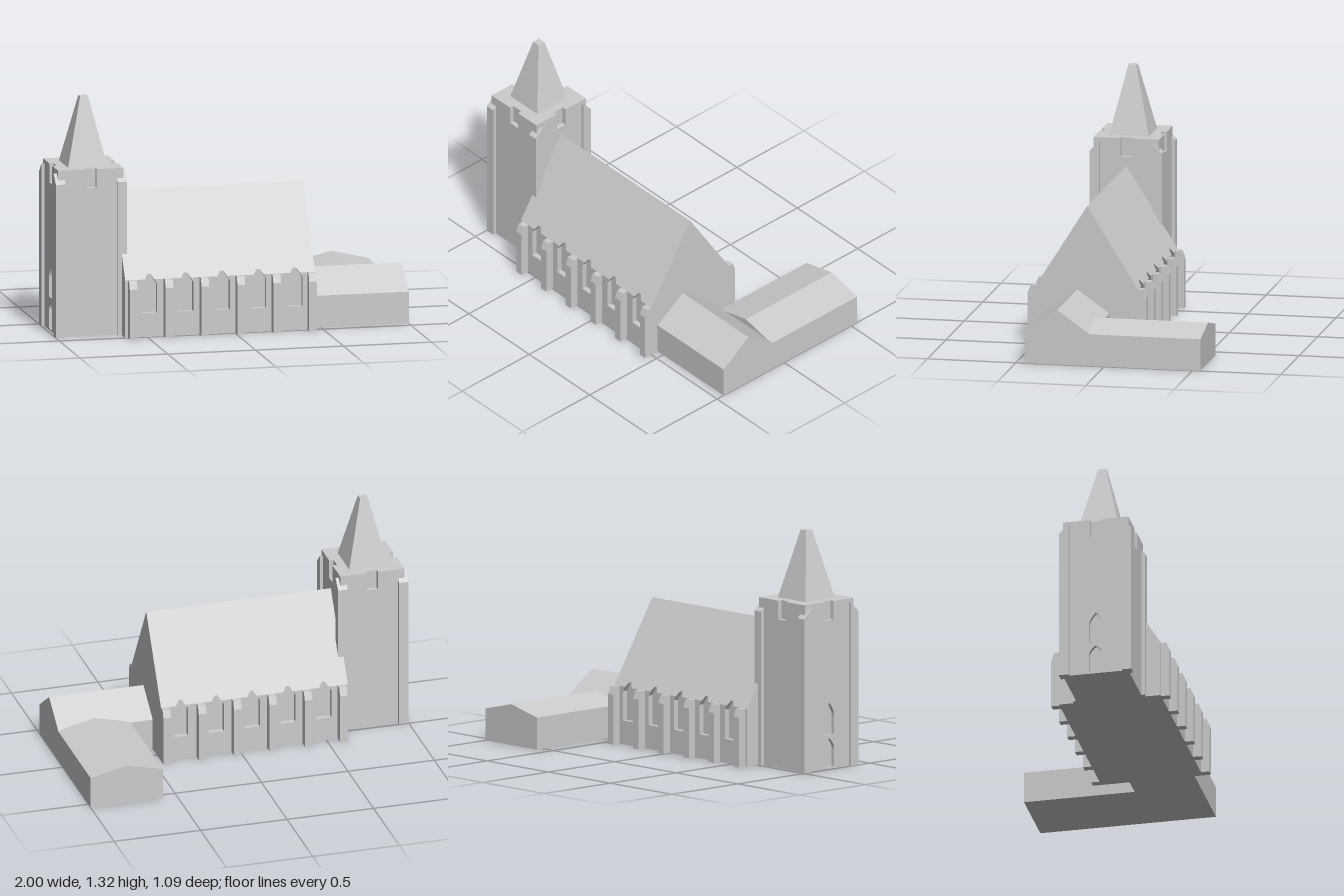
import * as THREE from 'three';

const stone = new THREE.MeshStandardMaterial({ color: 0xcccccc });
stone.name = 'grey stone';

const MID = 0.21; // z of the church's long axis

function mesh(name, geometry, parent) {
  const m = new THREE.Mesh(geometry, stone);
  m.name = name;
  parent.add(m);
  return m;
}

function toShape(points) {
  return new THREE.Shape(points.map(([x, y]) => new THREE.Vector2(x, y)));
}

function extrude(shape, depth) {
  return new THREE.ExtrudeGeometry(shape, { depth, bevelEnabled: false });
}

// Solid with a [z, y] section, running from x0 to x1
function prismX(points, x0, x1) {
  return extrude(toShape(points.map(([z, y]) => [-z, y])), x1 - x0)
    .rotateY(Math.PI / 2).translate(x0, 0, 0);
}

function box(x0, x1, y0, y1, z0, z1) {
  return new THREE.BoxGeometry(x1 - x0, y1 - y0, z1 - z0)
    .translate((x0 + x1) / 2, (y0 + y1) / 2, (z0 + z1) / 2);
}

function makeNave() {
  const nave = new THREE.Group();
  nave.name = 'nave';
  const x0 = -0.625, x1 = 0.455, half = 0.288, eave = 0.325, ridge = 0.785;
  const recess = 0.03, slope = (ridge - eave) / half, top = eave + slope * recess;
  const inner = half - recess;

  // Core with the gables and roof
  mesh('naveBody', prismX([
    [MID - inner, 0], [MID + inner, 0], [MID + inner, top], [MID, ridge], [MID - inner, top],
  ], x0, x1), nave);

  const windows = [0, 1, 2, 3, 4].map((i) => -0.487 + i * 0.207);
  for (const side of [1, -1]) {
    const turn = side > 0 ? 0 : Math.PI;

    // Wall with pointed window recesses, open where they cut the eave
    const lower = [[x1, eave], [x1, 0], [x0, 0], [x0, eave]];
    const upper = [[x1, eave], [x1, top], [x0, top], [x0, eave]];
    for (const w of windows) {
      lower.push([w - 0.027, eave], [w - 0.043, 0.3], [w - 0.043, 0.135],
        [w + 0.043, 0.135], [w + 0.043, 0.3], [w + 0.027, eave]);
      upper.push([w - 0.027, eave], [w - 0.009, 0.352], [w + 0.009, 0.352], [w + 0.027, eave]);
    }
    const flip = (pts) => toShape(pts.map(([x, y]) => [x * side, y]));
    const place = (g) => g.translate(0, 0, inner).rotateY(turn).translate(0, 0, MID);
    mesh('windowWall', place(extrude(flip(lower), recess)), nave);

    // Roof edge: outer face leaned back to the roof slope
    const edge = extrude(flip(upper), recess);
    const p = edge.attributes.position;
    for (let i = 0; i < p.count; i++) {
      if (p.getZ(i) > recess / 2) p.setZ(i, Math.max(0, recess - (p.getY(i) - eave) / slope));
    }
    edge.computeVertexNormals();
    mesh('roofEdge', place(edge), nave);

    // Buttresses between the windows
    for (let i = 0; i < 6; i++) {
      const x = -0.588 + i * 0.2042;
      mesh('naveButtress', prismX([
        [MID + side * 0.27, 0], [MID + side * 0.336, 0], [MID + side * 0.336, 0.28],
        [MID + side * 0.318, eave], [MID + side * 0.27, eave],
      ], x - 0.022, x + 0.022), nave);
    }
  }
  return nave;
}

function archPath(z, half, y0, spring, tip) {
  const path = new THREE.Path();
  path.moveTo(z - half, y0);
  path.lineTo(z + half, y0);
  path.lineTo(z + half, spring);
  path.quadraticCurveTo(z + half, (spring + tip) / 2, z, tip);
  path.quadraticCurveTo(z - half, (spring + tip) / 2, z - half, spring);
  return path;
}

function makeTower() {
  const tower = new THREE.Group();
  tower.name = 'tower';
  const cx = -0.797, h = 0.185, notchBase = 0.835, top = 0.94;
  const west = cx - h;

  mesh('towerBody', box(west + 0.02, cx + h, 0, notchBase, MID - h, MID + h), tower);

  // West face with door and window recesses
  const face = toShape([[-MID - h, 0], [-MID + h, 0], [-MID + h, notchBase], [-MID - h, notchBase]]);
  face.holes.push(archPath(-MID, 0.038, 0.01, 0.11, 0.17), archPath(-MID, 0.038, 0.19, 0.29, 0.37));
  mesh('westFace', extrude(face, 0.02).rotateY(Math.PI / 2).translate(west, 0, 0), tower);

  // Crown with one notch in the middle of each side
  const n = 0.032, d = h - 0.025, crown = [];
  for (let i = 0; i < 4; i++) {
    const c = [1, 0, -1, 0][i], s = [0, 1, 0, -1][i];
    for (const [x, y] of [[h, -h], [h, -n], [d, -n], [d, n], [h, n]]) {
      crown.push([x * c - y * s, x * s + y * c]);
    }
  }
  mesh('crown', extrude(toShape(crown), top - notchBase)
    .rotateX(-Math.PI / 2).translate(cx, notchBase, MID), tower);

  // Corner buttresses with sloping tops
  for (const sx of [-1, 1]) {
    for (const sz of [-1, 1]) {
      const a = cx + sx * 0.148, b = cx + sx * 0.203;
      mesh('towerButtress', prismX([
        [MID + sz * 0.15, 0], [MID + sz * 0.205, 0],
        [MID + sz * 0.205, 0.865], [MID + sz * 0.15, 0.918],
      ], Math.min(a, b), Math.max(a, b)), tower);
    }
  }

  // Blunt four-sided spire
  const r = Math.SQRT2;
  const spire = new THREE.CylinderGeometry(0.0225 * r, 0.112 * r, 0.382, 4, 1)
    .rotateY(Math.PI / 4).toNonIndexed();
  spire.computeVertexNormals();
  mesh('spire', spire.translate(cx, top + 0.191, MID), tower);
  return tower;
}

function makeAnnex() {
  const annex = new THREE.Group();
  annex.name = 'annex';
  mesh('annexHall', prismX([
    [0.452, 0], [0.452, 0.18], [0.265, 0.31], [0.083, 0.18], [0.083, 0],
  ], 0.45, 1), annex);

  // Rear wing with a low gabled roof
  mesh('rearWing', extrude(toShape([
    [0.583, 0], [1, 0], [1, 0.18], [0.79, 0.23], [0.583, 0.18],
  ]), 0.64).translate(0, 0, -0.545), annex);
  return annex;
}

export function createModel() {
  const church = new THREE.Group();
  church.name = 'church';
  church.add(makeNave(), makeTower(), makeAnnex());
  return church;
}
